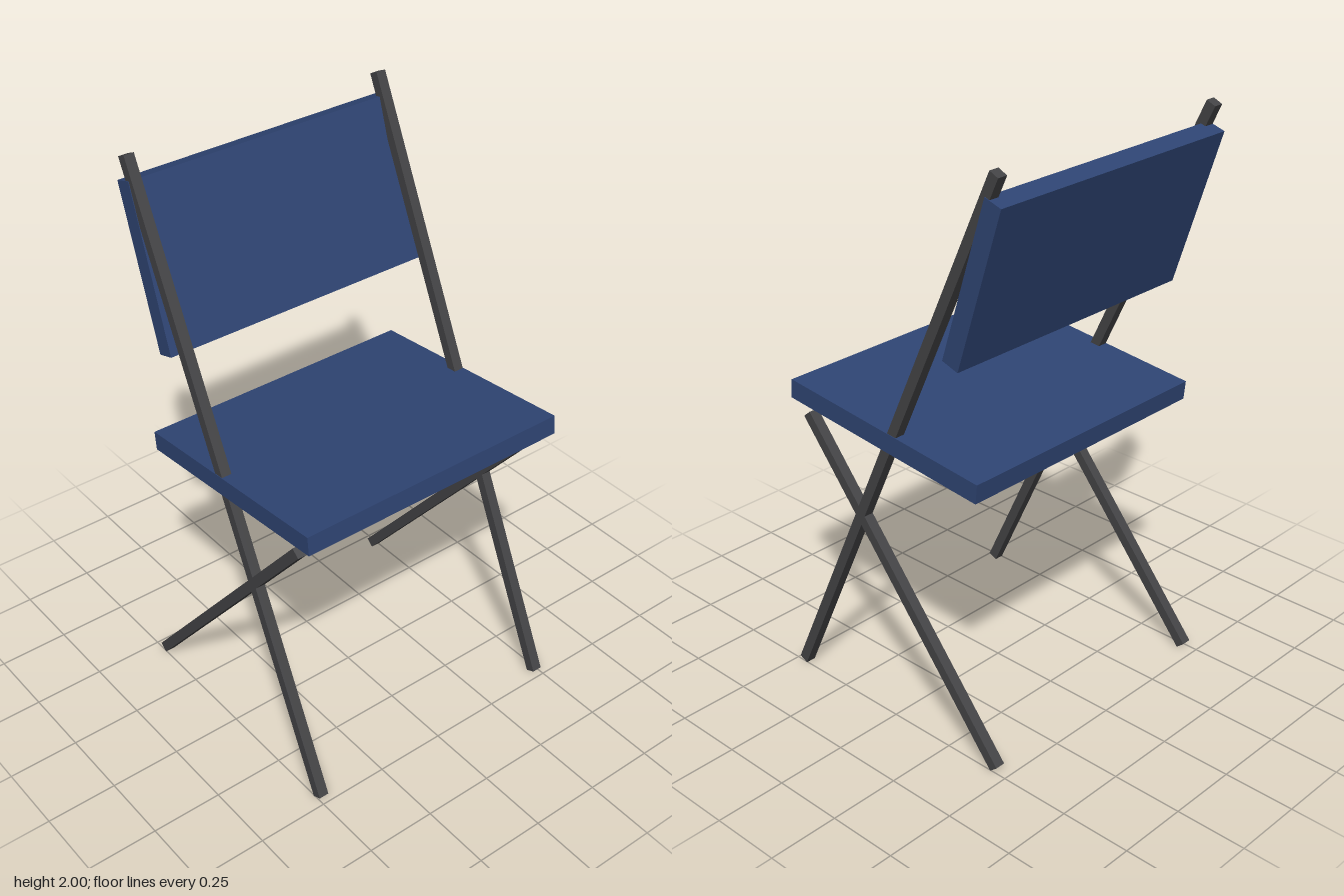
import * as THREE from 'three';

export function createModel() {
  const chair = new THREE.Group();
  chair.name = 'foldingChair';

  const blue = new THREE.MeshStandardMaterial({ color: 0x2f4574 });
  blue.name = 'navy blue';
  const grey = new THREE.MeshStandardMaterial({ color: 0x444446 });
  grey.name = 'dark grey';

  // A box bar or board, tilted about the x axis
  function board(name, material, size, position, tilt) {
    const mesh = new THREE.Mesh(new THREE.BoxGeometry(...size), material);
    mesh.name = name;
    mesh.position.set(...position);
    mesh.rotation.x = tilt;
    chair.add(mesh);
  }

  // Seat and backrest
  board('seat', blue, [1.01, 0.067, 0.837], [0, 1.027, 0.03], -0.1);
  board('backrest', blue, [1.01, 0.568, 0.066], [0, 1.641, -0.369], -0.31);

  // Crossed legs on each side: the long one rises to hold the backrest
  const barWidth = 0.036;
  for (const [side, x] of [['left', 0.485], ['right', -0.485]]) {
    board(side + 'LongLeg', grey, [barWidth, 2.19, barWidth], [x, 1, 0.005], -0.436);
    board(side + 'ShortLeg', grey, [barWidth, 1.29, barWidth], [x, 0.505, -0.037], 0.7);
  }

  return chair;
}
